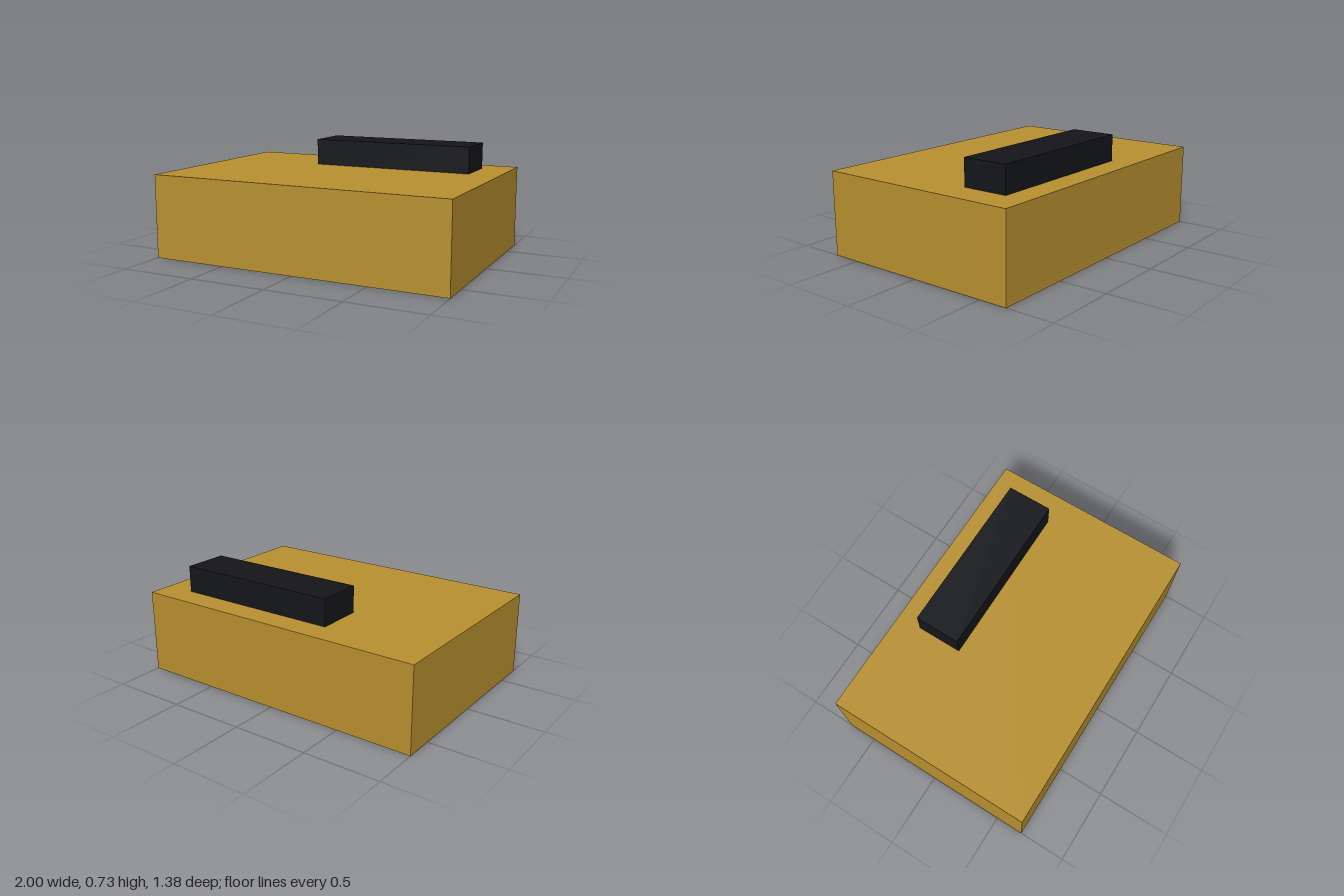
import * as THREE from 'three';

// Box resting on height y
function block(name, color, [w, h, d], [x, y, z]) {
  const mesh = new THREE.Mesh(
    new THREE.BoxGeometry(w, h, d),
    new THREE.MeshStandardMaterial({ color })
  );
  mesh.name = name;
  mesh.position.set(x, y + h / 2, z);
  return mesh;
}

export function createModel() {
  const model = new THREE.Group();
  model.name = 'boxWithBar';

  // Main body
  model.add(block('body', 0xb99130, [2, 0.55, 1.375], [0, 0, 0]));

  // Dark bar on top, towards the back and left
  model.add(block('topBar', 0x15161a, [1.1, 0.175, 0.3], [0.25, 0.55, -0.375]));

  return model;
}
